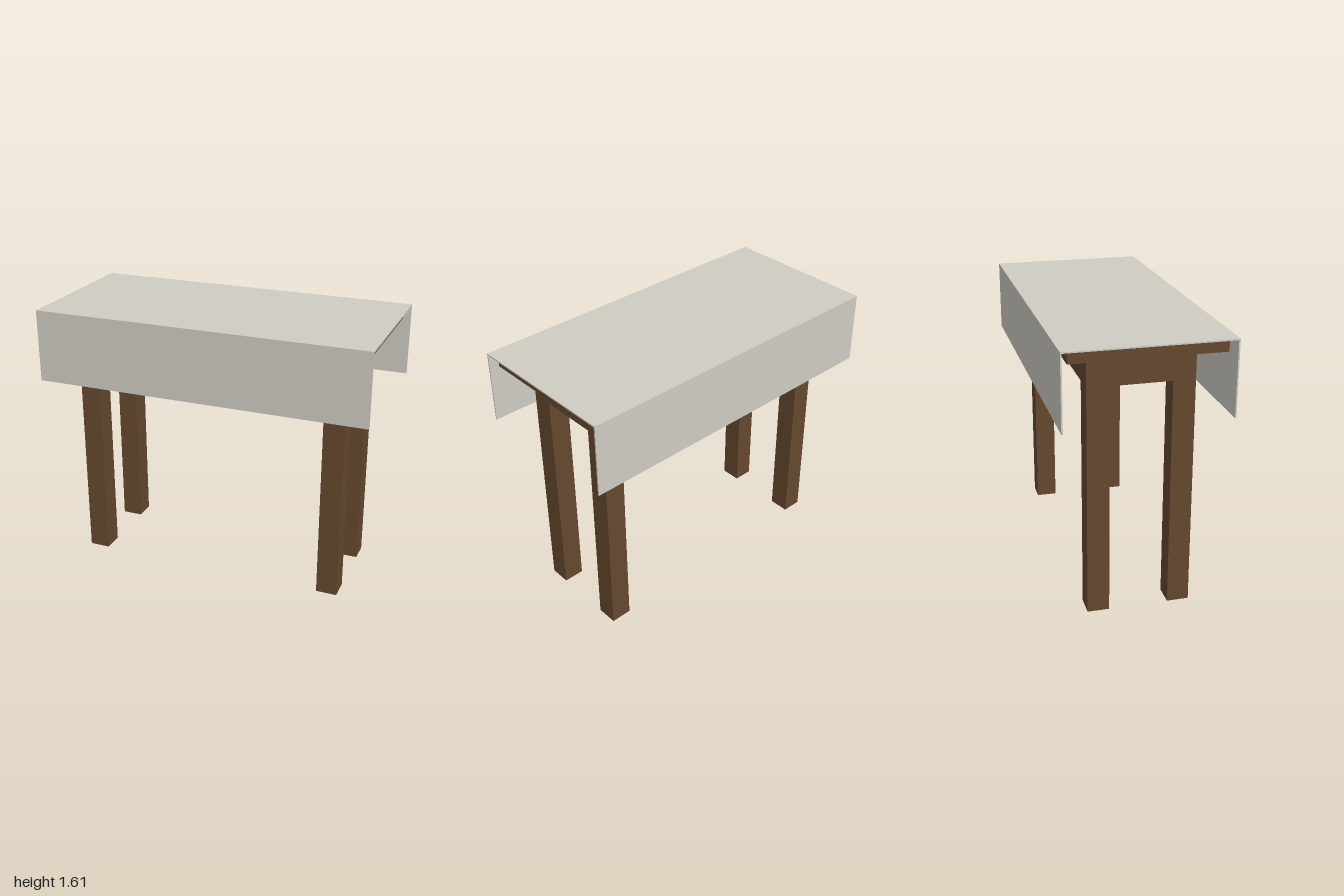
import * as THREE from 'three';

const wood = new THREE.MeshStandardMaterial({ color: 0x65482e });
const hollowWood = new THREE.MeshStandardMaterial({ color: 0x65482e, side: THREE.DoubleSide });
const cloth = new THREE.MeshStandardMaterial({ color: 0xd0ccc4 });

// Box given by its width, depth and bottom / top heights
function slab(name, w, d, y0, y1, material) {
  const mesh = new THREE.Mesh(new THREE.BoxGeometry(w, y1 - y0, d), material);
  mesh.name = name;
  mesh.position.y = (y0 + y1) / 2;
  return mesh;
}

// Square leg, open at the foot
function leg(name, x, z) {
  const mesh = slab(name, 0.125, 0.126, 0, 1.345, hollowWood);
  const index = Array.from(mesh.geometry.index.array);
  index.splice(18, 6); // drop the bottom face
  mesh.geometry.setIndex(index);
  mesh.geometry.clearGroups();
  mesh.position.x = x;
  mesh.position.z = z;
  return mesh;
}

// Thin cloth: a flat sheet with a straight drop at front and back
function tablecloth() {
  const half = 0.467, low = 1.173, high = 1.605, t = 0.008;
  const profile = new THREE.Shape([
    [-half, low], [-half + t, low], [-half + t, high - t], [half - t, high - t],
    [half - t, low], [half, low], [half, high], [-half, high],
  ].map(([z, y]) => new THREE.Vector2(z, y)));
  const geometry = new THREE.ExtrudeGeometry(profile, { depth: 2, bevelEnabled: false });
  geometry.translate(0, 0, -1).rotateY(Math.PI / 2);
  const mesh = new THREE.Mesh(geometry, cloth);
  mesh.name = 'tablecloth';
  return mesh;
}

export function createModel() {
  const table = new THREE.Group();
  table.name = 'table';

  // Board and the solid frame below it
  table.add(slab('tableTop', 1.92, 0.85, 1.527, 1.597, wood));
  table.add(slab('apron', 1.655, 0.596, 1.345, 1.527, wood));

  // Four legs flush with the frame corners
  for (const [side, sx] of [['Left', 1], ['Right', -1]])
    for (const [end, sz] of [['front', 1], ['back', -1]])
      table.add(leg(`${end}${side}Leg`, sx * 0.765, sz * 0.235));

  table.add(tablecloth());
  return table;
}
